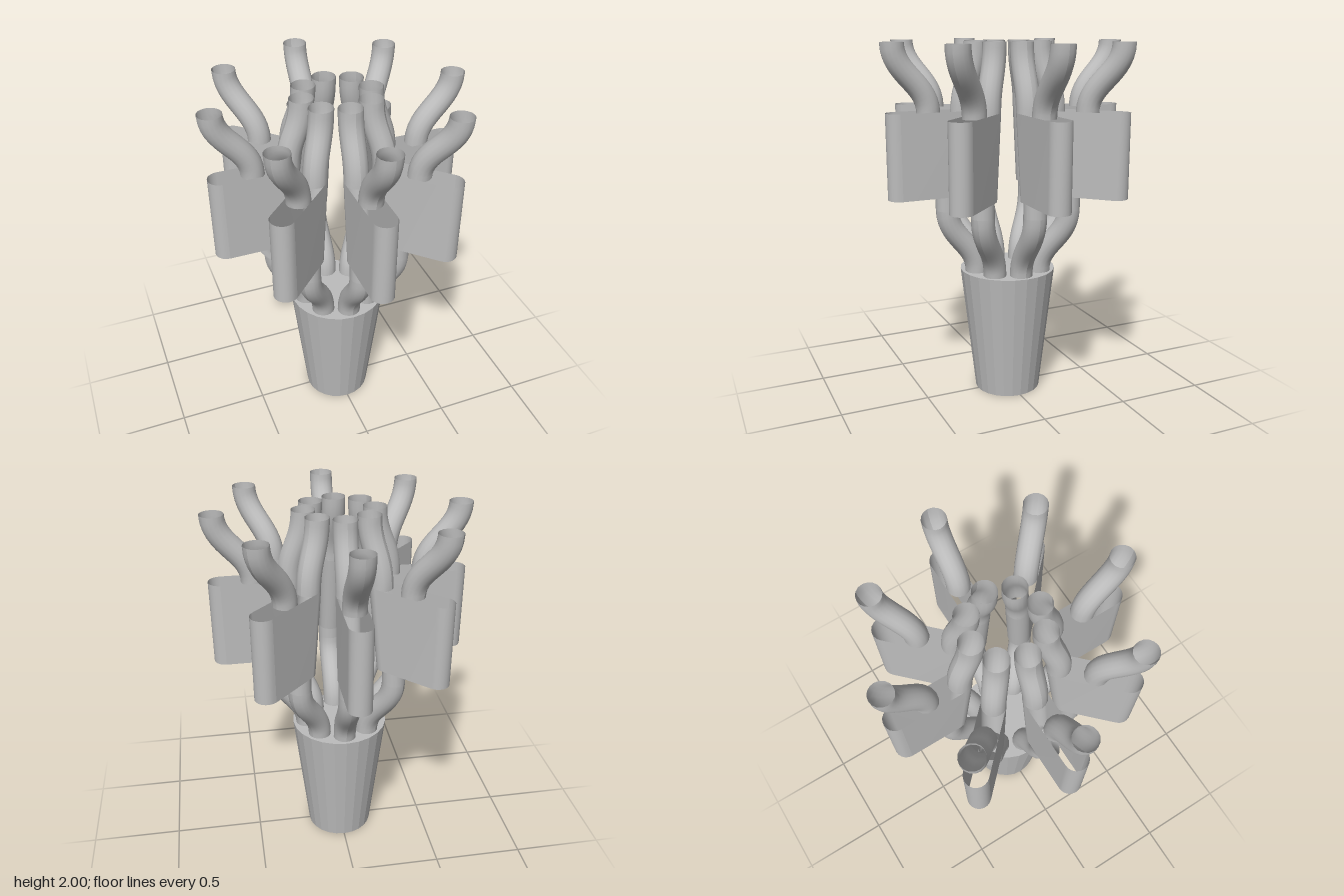
import * as THREE from 'three';

const R = 0.063; // pipe radius
const grey = new THREE.MeshStandardMaterial({ color: 0xbdbdbd });
grey.name = 'plain grey';
grey.side = THREE.DoubleSide;

function part(name, geometry) {
  const mesh = new THREE.Mesh(geometry, grey);
  mesh.name = name;
  return mesh;
}

// Open pipe with an S-bend in the radial plane, level at both ends
function bentPipe(name, x0, y0, x1, y1) {
  const rows = 14, sides = 16, pos = [], idx = [];
  const curve = new THREE.CubicBezierCurve(
    new THREE.Vector2(x0, y0), new THREE.Vector2(x0, y0 + (y1 - y0) * 0.45),
    new THREE.Vector2(x1, y1 - (y1 - y0) * 0.45), new THREE.Vector2(x1, y1));
  for (let i = 0; i <= rows; i++) {
    const p = curve.getPoint(i / rows), t = curve.getTangent(i / rows);
    for (let j = 0; j <= sides; j++) {
      const a = (j / sides) * Math.PI * 2, c = Math.cos(a) * R;
      pos.push(p.x + c * t.y, p.y - c * t.x, Math.sin(a) * R);
    }
  }
  return part(name, loft(pos, idx, rows, sides));
}

// Skin rows of equal length into a smooth surface
function loft(pos, idx, rows, sides) {
  const n = sides + 1;
  for (let i = 0; i < rows; i++) for (let j = 0; j < sides; j++) {
    const a = i * n + j, b = a + n;
    idx.push(a, b, a + 1, b, b + 1, a + 1);
  }
  const g = new THREE.BufferGeometry();
  g.setAttribute('position', new THREE.Float32BufferAttribute(pos, 3));
  g.setIndex(idx);
  g.computeVertexNormals();
  return g;
}

// Hollow upright sleeve with rounded ends, open above and below
function sleeve() {
  const pos = [], half = 10, outer = 0.625;
  for (const [y, inner] of [[1.18, 0.325], [1.64, 0.265]]) {
    const ring = [];
    for (let j = 0; j <= half; j++) {
      const a = -Math.PI / 2 + (j / half) * Math.PI;
      ring.push([outer + Math.cos(a) * R, y, Math.sin(a) * R]);
    }
    for (let j = 0; j <= half; j++) {
      const a = Math.PI / 2 + (j / half) * Math.PI;
      ring.push([inner + Math.cos(a) * R, y, Math.sin(a) * R]);
    }
    ring.push(ring[0]);
    pos.push(...ring.flat());
  }
  return part('sleeve', loft(pos, [], 1, half * 2 + 2));
}

export function createModel() {
  const model = new THREE.Group();
  model.name = 'branchingPipes';

  // Faceted tapered base
  const cup = new THREE.CylinderGeometry(0.27, 0.187, 0.73, 24).toNonIndexed();
  cup.computeVertexNormals();
  cup.translate(0, 0.365, 0);
  model.add(part('base', cup));

  // Eight identical arms around the base
  for (let k = 0; k < 8; k++) {
    const arm = new THREE.Group();
    arm.name = 'arm' + (k + 1);
    arm.add(bentPipe('lowerPipe', 0.19, 0.73, 0.36, 1.1));
    // Collar into the sleeve; one arm leans outward here
    const lean = k === 4 ? 0.06 : 0;
    const collar = new THREE.CylinderGeometry(R, R, 0.09, 16, 1, true);
    const p = collar.attributes.position;
    for (let i = 0; i < p.count; i++) if (p.getY(i) > 0) p.setX(i, p.getX(i) + lean);
    collar.translate(0.36, 1.145, 0);
    arm.add(part('collar', collar));
    arm.add(sleeve());
    arm.add(bentPipe('innerUpperPipe', 0.265, 1.63, 0.185, 2));
    arm.add(bentPipe('outerUpperPipe', 0.455, 1.63, 0.642, 2));
    arm.rotation.y = (k * Math.PI) / 4;
    model.add(arm);
  }
  return model;
}
